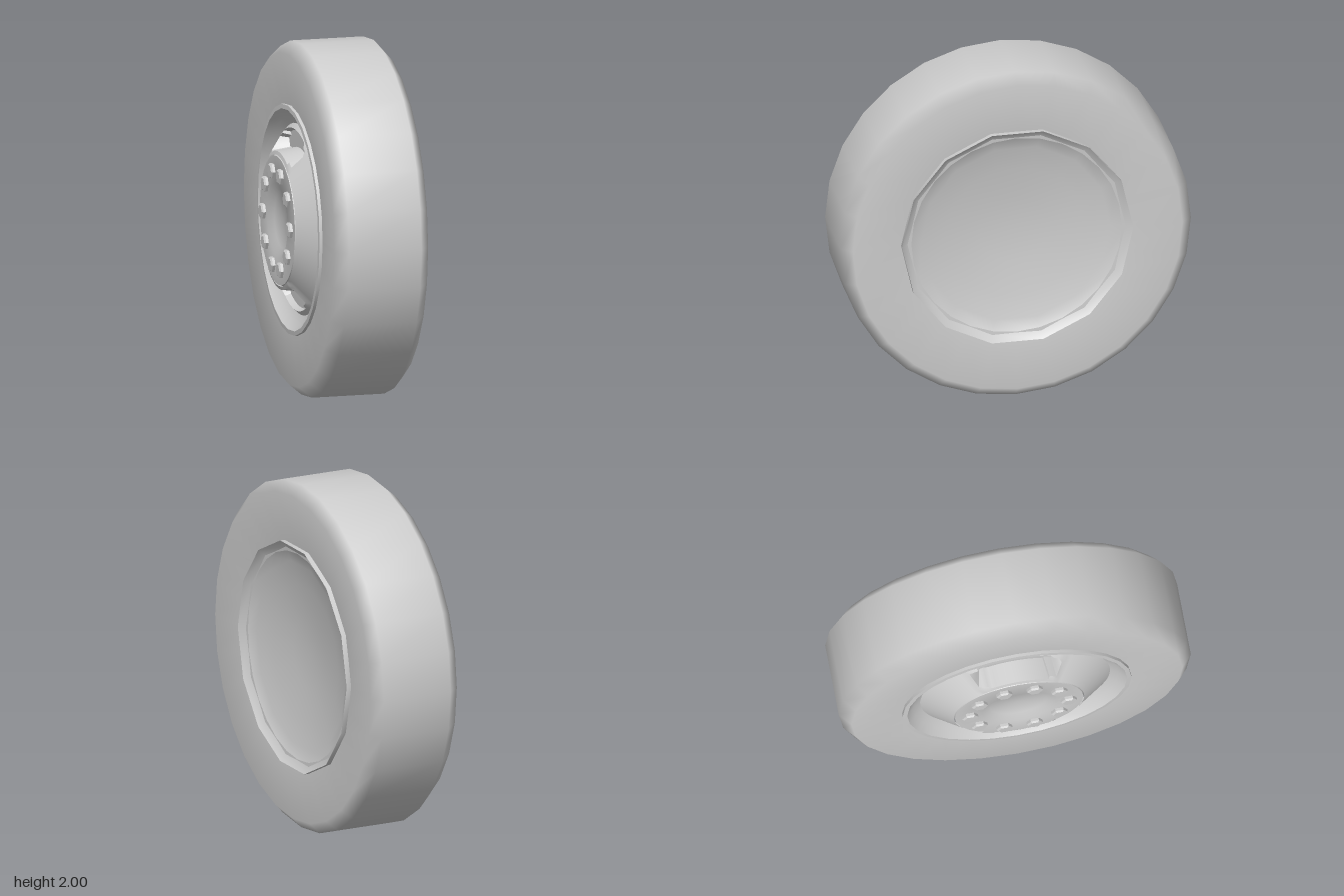
import * as THREE from 'three';
import { toCreasedNormals } from 'three/addons/utils/BufferGeometryUtils.js';

// Lathe around the x axis from [radius, x] points, running from +x round to -x
function turned(points, segments) {
  const profile = points.map(([r, x]) => new THREE.Vector2(r, -x));
  return new THREE.LatheGeometry(profile, segments).rotateZ(Math.PI / 2);
}

export function createModel() {
  const grey = new THREE.MeshStandardMaterial({ color: 0xcccccc });
  grey.name = 'plain grey';

  const wheel = new THREE.Group();
  wheel.name = 'wheel';
  wheel.position.y = 1;
  const add = (name, geometry, parent = wheel) => {
    const mesh = new THREE.Mesh(geometry, grey);
    mesh.name = name;
    parent.add(mesh);
    return mesh;
  };

  // Tyre: smooth bevelled tread and gently sunken sidewalls
  add('tyre', turned([
    [0.6, 0.285], [0.66, 0.29], [0.94, 0.315], [1, 0.26],
    [1, -0.16], [0.94, -0.23], [0.64, -0.216],
  ], 28));

  // Inner side: fourteen-sided shallow bowl with a raised edge
  add('backDish', toCreasedNormals(turned([
    [0, 0.2], [0.2, 0.21], [0.4, 0.235], [0.54, 0.262], [0.62, 0.285],
    [0.66, 0.318], [0.66, 0.28],
  ], 14), 0.75));

  // Outer side: rim lip falling into a valley
  add('rim', toCreasedNormals(turned([
    [0.65, -0.2], [0.65, -0.234], [0.625, -0.236], [0.585, -0.195], [0.54, -0.17],
  ], 28), 0.6));

  // Hub cone with a kidney-shaped hand hole pressed in above and below
  const rows = [0.54, 0.515, 0.5, 0.48, 0.45, 0.42, 0.405, 0.39, 0.37];
  const coneX = (r) => -0.17 - (0.54 - r) * (0.125 / 0.17);
  const cone = turned(rows.map((r) => [r, coneX(r)]), 112);
  const pos = cone.attributes.position;
  for (let i = 0; i < pos.count; i++) {
    const y = pos.getY(i), z = pos.getZ(i);
    const r = Math.hypot(y, z);
    const angle = THREE.MathUtils.radToDeg(Math.atan2(Math.abs(z), Math.abs(y)));
    const endRow = r > 0.49 || r < 0.41;
    if (r > 0.4 && r < 0.505 && angle < (endRow ? 25 : 30)) pos.setX(i, -0.165);
    else if (r > 0.385 && r < 0.52 && angle < 33) pos.setX(i, pos.getX(i) - 0.008);
  }
  add('hubCone', toCreasedNormals(cone, 0.6));

  // Flat hub face with a shallow central hollow
  add('hubFace', toCreasedNormals(turned([
    [0.37, -0.285], [0.365, -0.297], [0.21, -0.297], [0.16, -0.27], [0, -0.262],
  ], 28), 0.7));

  // Ten wheel nuts
  const nuts = new THREE.Group();
  nuts.name = 'wheelNuts';
  wheel.add(nuts);
  const nutShape = toCreasedNormals(turned([
    [0.046, -0.285], [0.046, -0.312], [0.036, -0.321], [0, -0.321],
  ], 6), 0.3);
  for (let i = 0; i < 10; i++) {
    const a = (i / 10) * Math.PI * 2;
    add('wheelNut', nutShape, nuts).position.set(0, 0.28 * Math.sin(a), 0.28 * Math.cos(a));
  }

  const model = new THREE.Group();
  model.name = 'model';
  model.add(wheel);
  return model;
}
